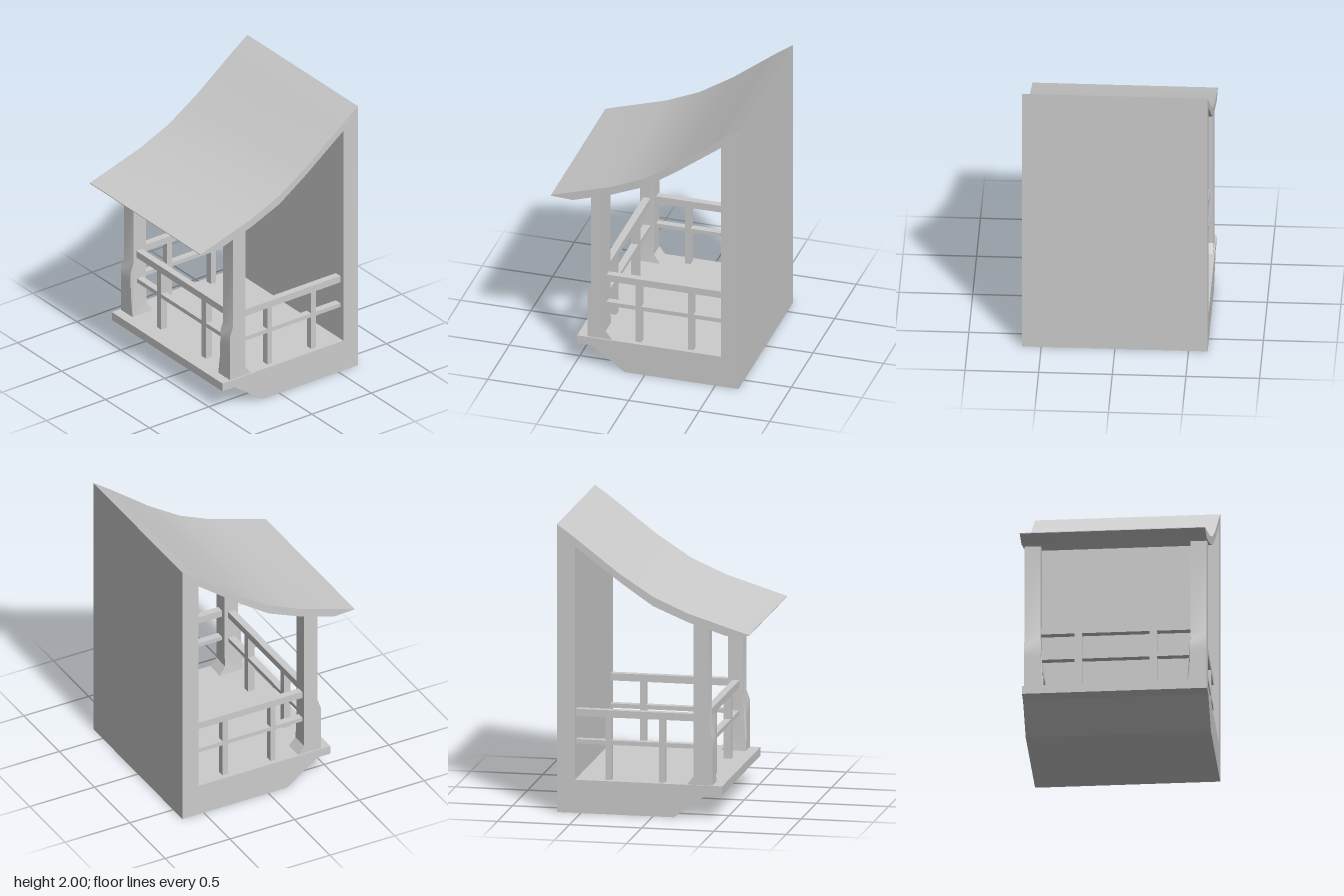
import * as THREE from 'three';
import { toCreasedNormals } from 'three/addons/utils/BufferGeometryUtils.js';

const HALF = 0.63;
const material = new THREE.MeshStandardMaterial({ color: 0xcccccc });

// Extrude a side profile of [z, y] points across x, from x0 to x1
function sideExtrude(points, x0, x1) {
  const shape = new THREE.Shape(points.map(([z, y]) => new THREE.Vector2(z, y)));
  const geo = new THREE.ExtrudeGeometry(shape, { depth: x1 - x0, bevelEnabled: false });
  return geo.rotateY(-Math.PI / 2).translate(x1, 0, 0);
}

function add(parent, name, geo) {
  const mesh = new THREE.Mesh(geo, material);
  mesh.name = name;
  parent.add(mesh);
  return mesh;
}

// Box given by its extents along each axis
function block(parent, name, [x0, x1], [y0, y1], [z0, z1]) {
  const mesh = add(parent, name, new THREE.BoxGeometry(x1 - x0, y1 - y0, z1 - z0));
  mesh.position.set((x0 + x1) / 2, (y0 + y1) / 2, (z0 + z1) / 2);
}

// Post with a thicker foot; its inner side flares towards the middle near the floor
function postGeometry(side) {
  const profile = [
    [0.235, 0.23], [0.41, 0.23], [0.41, 0.36], [0.41, 0.48], [0.41, 0.56], [0.385, 0.63],
    [0.385, 1.325], [0.28, 1.36], [0.28, 0.48], [0.28, 0.36], [0.28, 0.29],
  ];
  const geo = side > 0 ? sideExtrude(profile, 0.51, 0.62) : sideExtrude(profile, -0.62, -0.51);
  const p = geo.attributes.position;
  for (let i = 0; i < p.count; i++) {
    if (Math.abs(p.getX(i)) > 0.55) continue;
    const t = Math.max(0, (0.48 - p.getY(i)) / 0.25);
    p.setX(i, p.getX(i) - side * 0.022 * t * t);
  }
  return toCreasedNormals(geo, 0.35);
}

export function createModel() {
  const model = new THREE.Group();
  model.name = 'balcony';

  // Floor with a front lip and sloping underside
  add(model, 'base', sideExtrude([
    [-0.665, 0], [0.145, 0], [0.28, 0.1], [0.38, 0.17], [0.48, 0.17], [0.48, 0.23], [-0.665, 0.23],
  ], -HALF, HALF));

  // Back wall, cut to the slope of the roof
  add(model, 'backWall', sideExtrude([
    [-0.665, 0.23], [-0.54, 0.23], [-0.54, 1.91], [-0.665, 2],
  ], -HALF, HALF));

  // Swept roof
  add(model, 'roof', toCreasedNormals(sideExtrude([
    [-0.54, 1.85], [-0.22, 1.61], [0, 1.46], [0.24, 1.36], [0.51, 1.275], [0.665, 1.283],
    [0.665, 1.288], [0.24, 1.42], [0, 1.525], [-0.24, 1.68], [-0.54, 1.91],
  ], -HALF, HALF), 0.35));

  // Rail heights shared by all three railings
  const rails = [['topRail', [0.665, 0.715]], ['middleRail', [0.475, 0.505]]];
  const balusterY = [0.23, 0.665];

  // Front railing
  const front = new THREE.Group();
  front.name = 'frontRailing';
  model.add(front);
  const frontZ = [0.31, 0.36];
  for (const [name, y] of rails) block(front, name, [-0.51, 0.51], y, frontZ);
  for (const x of [-0.255, 0.255]) block(front, 'baluster', [x - 0.025, x + 0.025], balusterY, frontZ);

  // Posts and side railings
  for (const side of [-1, 1]) {
    const label = side > 0 ? 'left' : 'right';
    add(model, label + 'Post', postGeometry(side));
    const railing = new THREE.Group();
    railing.name = label + 'Railing';
    model.add(railing);
    const sideX = side > 0 ? [0.545, 0.595] : [-0.595, -0.545];
    for (const [name, y] of rails) block(railing, name, sideX, y, [-0.54, 0.28]);
    for (const z of [0.055, -0.315]) block(railing, 'baluster', sideX, balusterY, [z - 0.02, z + 0.02]);
  }
  return model;
}
